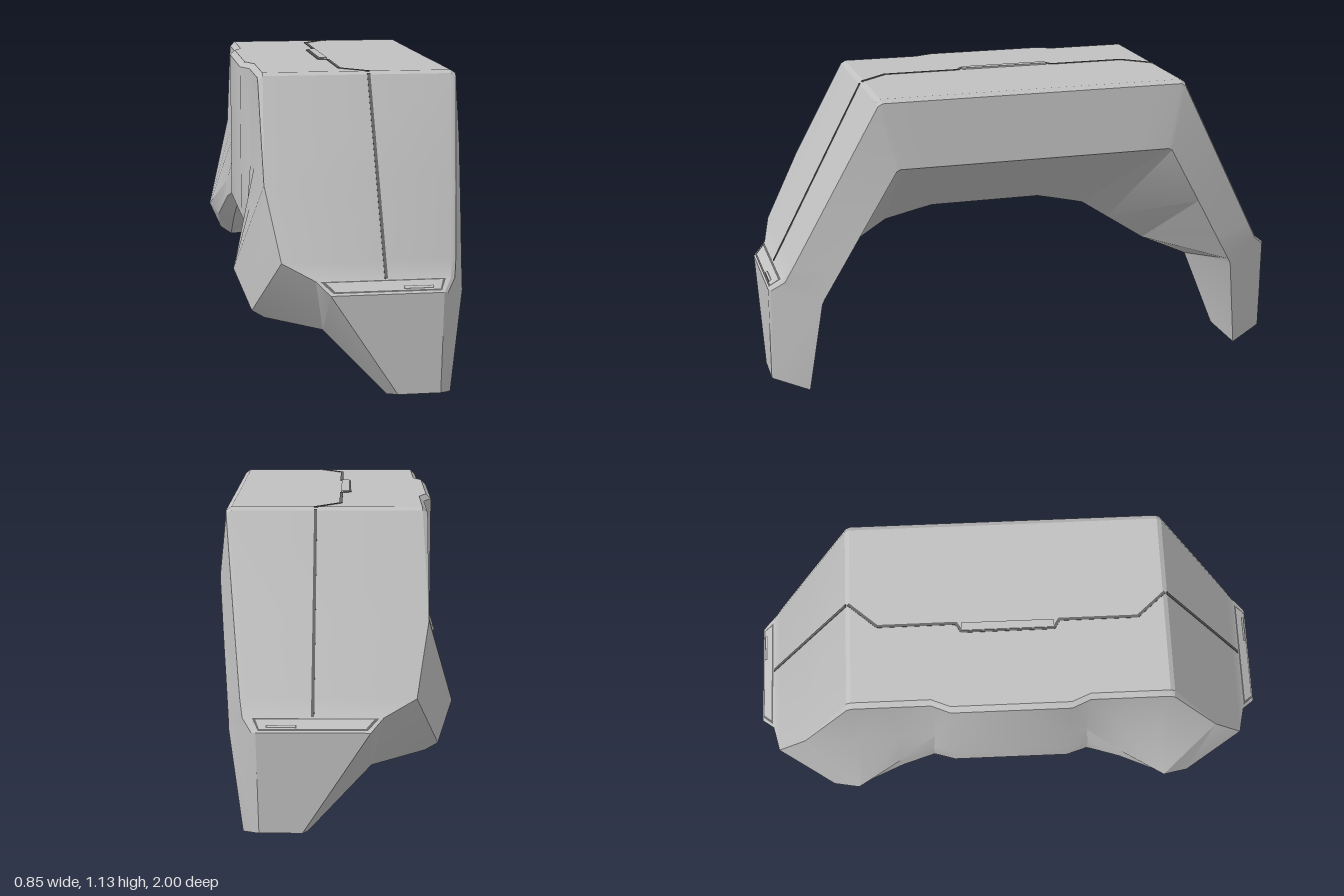
import * as THREE from 'three';
import { toCreasedNormals } from 'three/addons/utils/BufferGeometryUtils.js';

const mat = (name, color, side = THREE.FrontSide) => {
  const m = new THREE.MeshStandardMaterial({ color, side });
  m.name = name;
  return m;
};

// Rails run along half the arch, from the middle of the top to the tip of the leg.
const rail = (...pts) => pts.map(p => new THREE.Vector3(...p));
const blend = (a, b, t) => a.map((p, i) => p.clone().lerp(b[i], t));

const outerBack = rail([-.36, 1.12, 0], [-.36, 1.12, .22], [-.33, 1.12, .29], [-.33, 1.12, .43], [-.33, 1.12, .59],
  [-.33, .75, .786], [-.285, .5, .918], [-.17, .44, .95], [-.125, .4, 1], [.11, .04, 1]);
const outerFront = rail([.39, 1.12, 0], [.39, 1.12, .22], [.39, 1.12, .29], [.39, 1.12, .43], [.39, 1.12, .59],
  [.352, .75, .786], [.325, .5, .918], [.315, .44, .95], [.28, .4, 1], [.265, .04, 1]);
const innerRim = rail([.42, .865, 0], [.42, .865, .2], [.42, .865, .27], [.42, .865, .4], [.42, .865, .53],
  [.4, .64, .658], [.385, .48, .748], [.376, .38, .805], [.375, .36, .815], [.325, 0, .865]);
const wallBottom = rail([-.32, .485, 0], [-.32, .485, .23], [-.32, .47, .3], [-.32, .44, .43], [-.325, .367, .54],
  [-.325, .255, .71], [-.325, .255, .71], [-.13, .235, .83], [-.13, .235, .83], [.095, 0, .865]);
const wallEdge = rail([-.36, .53, 0], [-.36, .53, .22], [-.335, .53, .3], [-.36, .48, .43], [-.39, .37, .58],
  [-.37, .285, .72], [-.37, .285, .72], [-.13, .235, .83], [-.13, .235, .83], [.095, 0, .865]);
const wallBulge = rail([-.36, .62, 0], [-.36, .62, .22], [-.335, .62, .3], [-.36, .55, .43], [-.425, .415, .61],
  [-.425, .415, .61], [-.37, .285, .72], [-.13, .235, .83], [-.13, .235, .83], [.095, 0, .865]);
// the upper wall joins the outer edge once the arch turns down
const wallUpper = outerBack.map((p, i) => (i < 5 ? new THREE.Vector3(p.x, .75, p.z) : p.clone()));

// Closed loop of rails, with narrow chamfers at both long outer edges
const loop = [innerRim, blend(outerFront, innerRim, .05), blend(outerFront, outerBack, .025),
  blend(outerBack, outerFront, .025), blend(outerBack, wallUpper, .05), wallUpper, wallBulge, wallEdge, wallBottom];

// Small chamfer where the top turns into the slope
const softenCorner = r => [...r.slice(0, 4), r[3].clone().lerp(r[4], .93), r[4].clone().lerp(r[5], .03), ...r.slice(5)];

function shellGeometry() {
  const rails = loop.map(softenCorner).map(r =>
    [...r.slice(1).reverse().map(p => new THREE.Vector3(p.x, p.y, -p.z)), ...r]);
  const n = rails.length, last = rails[0].length - 1, out = [];
  const tri = (a, b, c) => {
    const area = b.clone().sub(a).cross(c.clone().sub(a)).length();
    if (area > 1e-7) for (const p of [a, b, c]) out.push(p.x, p.y, p.z);
  };
  for (let k = 0; k < last; k++) {
    for (let i = 0; i < n; i++) {
      const j = (i + 1) % n;
      const p = rails[i][k], q = rails[j][k], r = rails[j][k + 1], s = rails[i][k + 1];
      if (k < last / 2) { tri(p, q, s); tri(q, r, s); } else { tri(p, q, r); tri(p, r, s); }
    }
  }
  // leg tips
  for (let i = 1; i < n - 1; i++) {
    tri(rails[0][last], rails[i][last], rails[i + 1][last]);
    tri(rails[0][0], rails[i + 1][0], rails[i][0]);
  }
  const g = new THREE.BufferGeometry();
  g.setAttribute('position', new THREE.Float32BufferAttribute(out, 3));
  return toCreasedNormals(g, .45);
}

// Thin strip lying on a surface between two points
function strip(name, a, b, normal, width, material) {
  const from = new THREE.Vector3(...a), to = new THREE.Vector3(...b);
  const m = new THREE.Mesh(new THREE.BoxGeometry(width, .004, from.distanceTo(to) + width * .5), material);
  m.name = name;
  m.position.copy(from).add(to).multiplyScalar(.5);
  m.up.set(...normal);
  m.lookAt(to);
  return m;
}

// Flat plate from an outline
function plate(name, pts, z, material) {
  const shape = new THREE.Shape(pts.map(p => new THREE.Vector2(...p)));
  const m = new THREE.Mesh(new THREE.ShapeGeometry(shape), material);
  m.name = name;
  m.position.z = z;
  return m;
}

export function createModel() {
  const shellGrey = mat('shell grey', 0xc0c0c0);
  const seamGrey = mat('seam grey', 0x666666, THREE.DoubleSide);
  const model = new THREE.Group();
  model.name = 'archedShell';

  const shell = new THREE.Mesh(shellGeometry(), shellGrey);
  shell.name = 'shell';
  model.add(shell);

  // raised panel beside the seam in the middle of the top
  const panel = new THREE.Mesh(new THREE.BoxGeometry(.03, .008, .34), shellGrey);
  panel.name = 'topPanel';
  panel.position.set(-.035, 1.122, 0);
  model.add(panel);

  for (const side of [1, -1]) {
    const half = new THREE.Group();
    half.name = side > 0 ? 'frontDetails' : 'rearDetails';

    // seam over the top and down the slope
    const path = [[-.052, 1.12, 0], [-.052, 1.12, .17], [-.02, 1.12, .19], [-.02, 1.12, .48], [.07, 1.12, .583]];
    for (let i = 0; i < path.length - 1; i++)
      half.add(strip('topSeam', path[i], path[i + 1], [0, 1, 0], .011, seamGrey));
    half.add(strip('slopeSeam', [.07, 1.11, .596], [.075, .445, .948], [0, .468, .884], .011, seamGrey));

    // slot on the shoulder of the leg
    const slot = new THREE.Group();
    slot.name = 'shoulderSlot';
    slot.position.set(0, .42, .975);
    slot.rotation.x = -Math.atan2(.05, .04);
    slot.add(plate('slotFrame', [[-.155, .029], [-.115, -.024], [.262, -.024], [.284, .029]], .002, seamGrey));
    slot.add(plate('slotFloor', [[-.137, .022], [-.108, -.018], [.258, -.018], [.272, .022]], .004, shellGrey));
    slot.add(plate('slotInsetEdge', [[.13, -.002], [.13, -.016], [.235, -.016], [.235, -.002]], .006, seamGrey));
    slot.add(plate('slotInset', [[.134, -.005], [.134, -.013], [.231, -.013], [.231, -.005]], .008, shellGrey));
    half.add(slot);

    half.scale.z = side;
    model.add(half);
  }
  return model;
}
